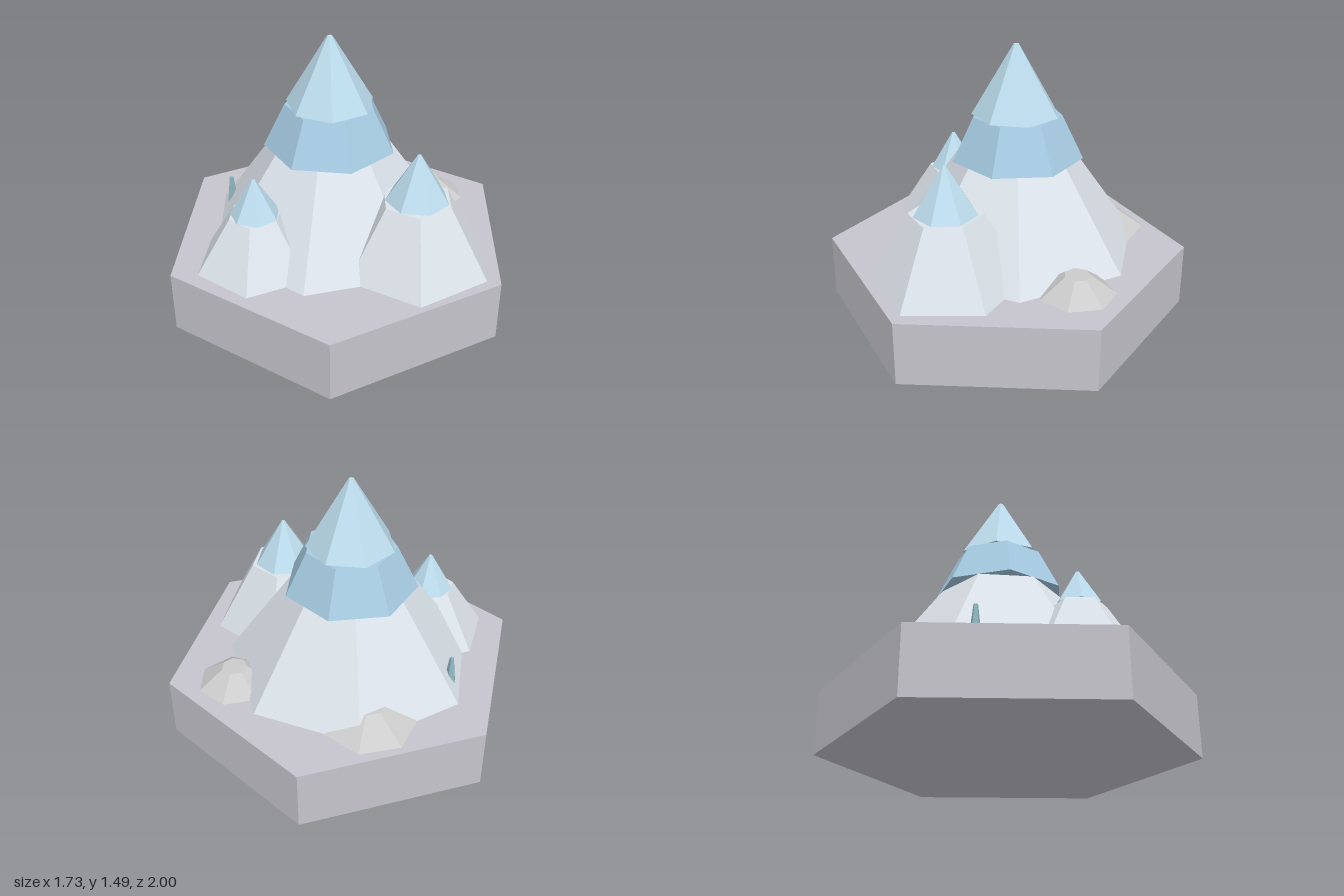
import * as THREE from 'three';

const material = (color) => new THREE.MeshStandardMaterial({ color, flatShading: true });
const GROUND = 0.35;

export function createModel() {
  const model = new THREE.Group();
  const earth = material(0xc6c5cd);
  const stone = material(0xdbe2e9);
  const snow = material(0xf2f3f4);
  const paleIce = material(0xbcdcec);
  const deepIce = material(0xa6cbe2);
  const crystalIce = material(0x8fb6c2);

  // Tapered prism from height y0 to y1; turn is the angle of its first corner in degrees
  function frustum(parent, name, mat, sides, x, z, y0, y1, bottom, top, turn) {
    const geometry = new THREE.CylinderGeometry(
      top, bottom, y1 - y0, sides, 1, false, THREE.MathUtils.degToRad(turn));
    const mesh = new THREE.Mesh(geometry, mat);
    mesh.name = name;
    mesh.position.set(x, (y0 + y1) / 2, z);
    parent.add(mesh);
  }

  function group(name) {
    const g = new THREE.Group();
    g.name = name;
    model.add(g);
    return g;
  }

  // Hexagonal ground tile
  frustum(model, 'hexBase', earth, 6, 0, 0, 0, GROUND, 1, 1, 0);

  // Main peak with two stacked ice tiers
  const main = group('mainMountain');
  frustum(main, 'mainSlope', stone, 7, -0.05, -0.05, GROUND, 0.87, 0.695, 0.33, -8.5);
  frustum(main, 'lowerIceTier', deepIce, 7, -0.05, -0.055, 0.87, 1.11, 0.363, 0.245, 20.5);
  frustum(main, 'upperIceCap', paleIce, 7, -0.05, -0.05, 1.11, 1.49, 0.24, 0.015, 6);

  // Two lesser peaks at the front, each with one ice cap
  const peaks = [
    { name: 'leftPeak', x: 0.42, z: 0.285, r: 0.42, rim: 0.195, y: 0.73, tip: 0.99, cap: 0.17, turn: 3, capTurn: 20 },
    { name: 'rightPeak', x: -0.425, z: 0.335, r: 0.335, rim: 0.145, y: 0.645, tip: 0.85, cap: 0.133, turn: -3, capTurn: 13 },
  ];
  for (const p of peaks) {
    const peak = group(p.name);
    frustum(peak, 'slope', stone, 6, p.x, p.z, GROUND, p.y, p.r, p.rim, p.turn);
    frustum(peak, 'iceCap', paleIce, 7, p.x, p.z, p.y, p.tip, p.cap, 0.01, p.capTurn);
  }

  // Low snow mounds at the back
  frustum(model, 'leftSnowMound', snow, 7, 0.52, -0.39, GROUND, 0.45, 0.205, 0.07, 25);
  frustum(model, 'rightSnowMound', snow, 7, -0.26, -0.53, GROUND, 0.465, 0.255, 0.09, 180);

  // Small crystal on the right flank
  frustum(model, 'iceCrystal', crystalIce, 5, -0.633, -0.178, 0.36, 0.556, 0.036, 0.012, 20);

  return model;
}
